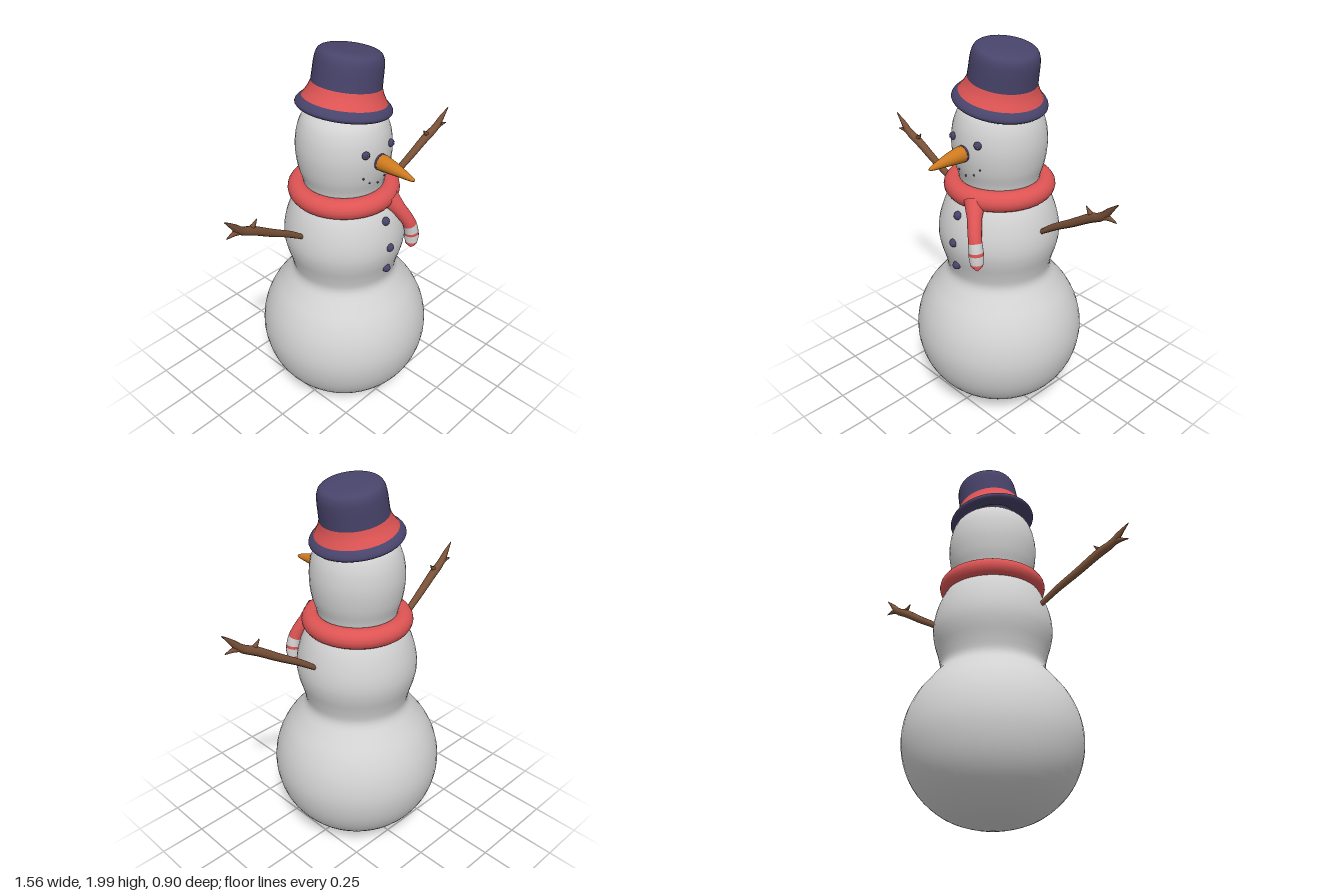
import * as THREE from 'three';

const mat = (name, color, side = THREE.FrontSide) => {
  const m = new THREE.MeshStandardMaterial({ color, side });
  m.name = name;
  return m;
};

// Smooth surface of revolution through a few [radius, height] points
function lathe(points, divisions, segments = 40) {
  let profile = points.map(([r, y]) => new THREE.Vector2(r, y));
  if (divisions) profile = new THREE.SplineCurve(profile).getPoints(divisions);
  profile.forEach((p) => { p.x = Math.max(0, p.x); });
  return new THREE.LatheGeometry(profile, segments);
}

// Tube along a curve whose radius follows [t, radius] stops
function taperedTube(points, stops, segments = 16, sides = 10) {
  const curve = new THREE.CatmullRomCurve3(points.map((p) => new THREE.Vector3(...p)));
  const geo = new THREE.TubeGeometry(curve, segments, 1, sides);
  const pos = geo.attributes.position;
  const v = new THREE.Vector3();
  for (let i = 0; i <= segments; i++) {
    const t = i / segments;
    let k = 1;
    while (k < stops.length - 1 && t > stops[k][0]) k++;
    const [t0, r0] = stops[k - 1], [t1, r1] = stops[k];
    const radius = r0 + (r1 - r0) * (t - t0) / (t1 - t0);
    const centre = curve.getPointAt(t);
    for (let j = 0; j <= sides; j++) {
      const n = i * (sides + 1) + j;
      v.fromBufferAttribute(pos, n).sub(centre).multiplyScalar(radius).add(centre);
      pos.setXYZ(n, v.x, v.y, v.z);
    }
  }
  return geo;
}

export function createModel() {
  const snow = mat('snow', 0xd2d2d2, THREE.DoubleSide);
  const navy = mat('navy', 0x48436a, THREE.DoubleSide);
  const red = mat('red wool', 0xde5454, THREE.DoubleSide);
  const orange = mat('carrot orange', 0xd07c20);
  const wood = mat('wood', 0x7b5238);

  const model = new THREE.Group();
  model.name = 'snowman';
  const add = (parent, name, geo, material, x = 0, y = 0, z = 0) => {
    const mesh = new THREE.Mesh(geo, material);
    mesh.name = name;
    mesh.position.set(x, y, z);
    parent.add(mesh);
    return mesh;
  };

  // Two snowballs blended at the waist, and the head
  add(model, 'body', lathe([
    [0, 0.003], [0.12, 0.02], [0.24, 0.065], [0.35, 0.155], [0.42, 0.27], [0.449, 0.41],
    [0.432, 0.54], [0.383, 0.65], [0.318, 0.735], [0.272, 0.8], [0.28, 0.87], [0.303, 0.95],
    [0.312, 1.02], [0.302, 1.1], [0.272, 1.19], [0.23, 1.26], [0.19, 1.3],
  ], 56, 48), snow);
  add(model, 'head', lathe([
    [0.195, 1.26], [0.205, 1.33], [0.225, 1.4], [0.236, 1.48], [0.234, 1.55],
    [0.219, 1.62], [0.185, 1.68], [0.1, 1.74], [0, 1.765],
  ], 32), snow, 0, 0, -0.004);

  // Coat buttons
  for (const [y, z] of [[1.18, 0.275], [1.04, 0.308], [0.905, 0.292]]) {
    add(model, 'coatButton', new THREE.SphereGeometry(0.022, 14, 10), navy, 0, y, z);
  }

  // Button eyes with four pale stitch marks
  for (const side of [-1, 1]) {
    const eye = new THREE.Group();
    eye.name = side > 0 ? 'leftEye' : 'rightEye';
    eye.position.set(side * 0.088, 1.555, 0.219);
    eye.rotation.y = side * 0.36;
    add(eye, 'eyeButton', new THREE.SphereGeometry(0.02, 16, 10), navy).scale.z = 0.7;
    for (const dx of [-1, 1]) for (const dy of [-1, 1]) {
      add(eye, 'stitch', new THREE.SphereGeometry(0.0035, 6, 4), snow, dx * 0.006, dy * 0.006, 0.0125);
    }
    model.add(eye);
  }

  // Mouth pebbles
  for (const [x, y] of [[-0.092, 1.43], [-0.052, 1.393], [0, 1.377], [0.052, 1.393], [0.092, 1.43]]) {
    const r = y > 1.4 ? 0.23 : 0.219;
    add(model, 'mouthPebble', new THREE.SphereGeometry(0.005, 8, 6), navy, x, y, Math.sqrt(r * r - x * x));
  }

  // Carrot nose on a thin dark backing
  add(model, 'carrotNose', taperedTube(
    [[0, 1.494, 0.21], [0, 1.492, 0.28], [0, 1.484, 0.36], [0, 1.473, 0.441]],
    [[0, 0.04], [0.2, 0.04], [0.45, 0.032], [0.85, 0.015], [0.95, 0.009], [1, 0.001]], 20, 12), orange);
  const backing = add(model, 'noseBacking', new THREE.CylinderGeometry(0.041, 0.041, 0.009, 16), navy, 0, 1.494, 0.235);
  backing.rotation.x = Math.PI / 2;

  // Scarf ring and its hanging striped end
  const ring = add(model, 'scarfRing', new THREE.TorusGeometry(0.229, 0.052, 16, 44), red, 0, 1.274, -0.004);
  ring.rotation.x = Math.PI / 2;
  const sides = 14;
  const tail = taperedTube(
    [[0.07, 1.27, 0.225], [0.11, 1.2, 0.265], [0.15, 1.12, 0.3], [0.168, 1.05, 0.309], [0.172, 0.955, 0.308]],
    [[0, 0.055], [0.25, 0.037], [0.5, 0.034], [0.8, 0.038], [0.92, 0.03], [1, 0.004]], 24, sides);
  tail.clearGroups();
  [[0, 14, 0], [14, 17, 1], [17, 18, 0], [18, 21, 1], [21, 24, 0]].forEach(([a, b, m]) =>
    tail.addGroup(a * sides * 6, (b - a) * sides * 6, m));
  add(model, 'scarfTail', tail, [red, snow]);

  // Branch arms, each with a main stick and two twigs
  for (const s of [-1, 1]) {
    const arm = new THREE.Group();
    arm.name = s > 0 ? 'leftArm' : 'rightArm';
    const stick = (name, pts, stops) =>
      add(arm, name, taperedTube(pts.map(([x, y, z]) => [s * x, y, z]), stops, 16, 8), wood);
    stick('branch', [[0.295, 1.102, -0.006], [0.38, 1.163, 0], [0.5, 1.237, 0.012],
      [0.62, 1.315, 0.024], [0.69, 1.352, 0.032], [0.735, 1.4, 0.037], [0.78, 1.445, 0.042]],
    [[0, 0.012], [0.08, 0.016], [0.4, 0.02], [0.68, 0.023], [0.85, 0.018], [1, 0.002]]);
    stick('outerTwig', [[0.66, 1.338, 0.028], [0.715, 1.358, 0.034], [0.775, 1.353, 0.038]],
      [[0, 0.018], [0.5, 0.015], [1, 0.002]]);
    stick('innerTwig', [[0.645, 1.322, 0.026], [0.615, 1.34, 0.026], [0.592, 1.366, 0.026]],
      [[0, 0.017], [0.5, 0.011], [1, 0.002]]);
    model.add(arm);
  }

  // Tilted hat: brim, ribbon and crown
  const hat = new THREE.Group();
  hat.name = 'hat';
  hat.position.set(0, 1.694, -0.005);
  hat.rotation.z = -0.172;
  add(hat, 'hatBrim', lathe([[0.13, 0.03], [0.18, 0.008], [0.215, -0.005], [0.231, 0.005],
    [0.232, 0.017], [0.222, 0.032], [0.205, 0.045]], 24), navy);
  add(hat, 'hatRibbon', lathe([[0.207, 0.042], [0.192, 0.066], [0.179, 0.09], [0.169, 0.118]], 8), red);
  add(hat, 'hatCrown', lathe([[0.169, 0.116], [0.167, 0.16], [0.165, 0.21], [0.16, 0.245],
    [0.146, 0.27], [0.115, 0.281], [0.06, 0.285], [0, 0.286]], 28), navy);
  model.add(hat);

  return model;
}
